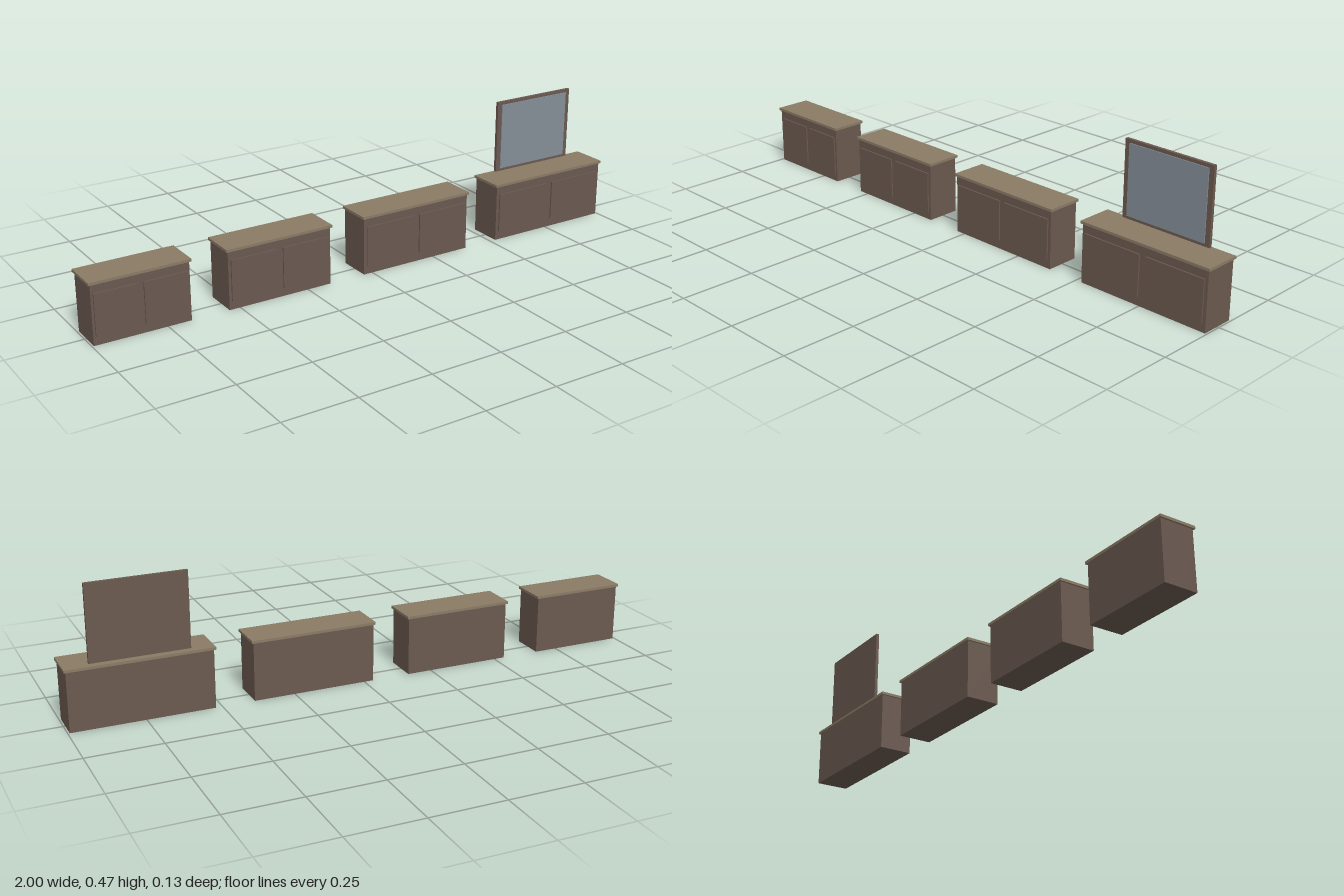
import * as THREE from 'three';

const wood = new THREE.MeshStandardMaterial({ color: 0x6b5a50 });
wood.name = 'dark wood';
const topWood = new THREE.MeshStandardMaterial({ color: 0x8b7b66 });
topWood.name = 'light wood top';
const glass = new THREE.MeshStandardMaterial({ color: 0x868f98 });
glass.name = 'mirror glass';

// Box given by its centre x, bottom y, centre z and size
function box(name, material, x, y, z, w, h, d) {
  const mesh = new THREE.Mesh(new THREE.BoxGeometry(w, h, d), material);
  mesh.name = name;
  mesh.position.set(x, y + h / 2, z);
  return mesh;
}

// Sideboard: plain carcass, overhanging top and two raised doors
function sideboard(name, x, width) {
  const group = new THREE.Group();
  group.name = name;
  group.position.x = x;
  group.add(
    box('carcass', wood, 0, 0, 0, width, 0.199, 0.117),
    box('top', topWood, 0, 0.199, 0, width + 0.012, 0.009, 0.127)
  );
  for (const side of [-1, 1]) {
    group.add(box(side < 0 ? 'rightDoor' : 'leftDoor', wood,
      side * width * 0.25, 0.03, 0.0608, width * 0.45, 0.14, 0.0055));
  }
  return group;
}

export function createModel() {
  const model = new THREE.Group();
  model.name = 'sideboards';

  // Row of four, growing wider towards +x
  const gap = 0.12;
  let edge = -1;
  for (let i = 0; i < 4; i++) {
    const width = 0.324 + i * 0.0493;
    const outer = width + 0.012;
    model.add(sideboard('sideboard' + (i + 1), edge + outer / 2, width));
    edge += outer + gap;
  }

  // Mirror above the widest sideboard
  const mirror = new THREE.Group();
  mirror.name = 'mirror';
  mirror.position.x = 0.757;
  mirror.add(
    box('mirrorFrame', wood, 0, 0.213, -0.0465, 0.326, 0.257, 0.011),
    box('mirrorGlass', glass, 0, 0.223, -0.0395, 0.292, 0.236, 0.003)
  );
  model.add(mirror);
  return model;
}
